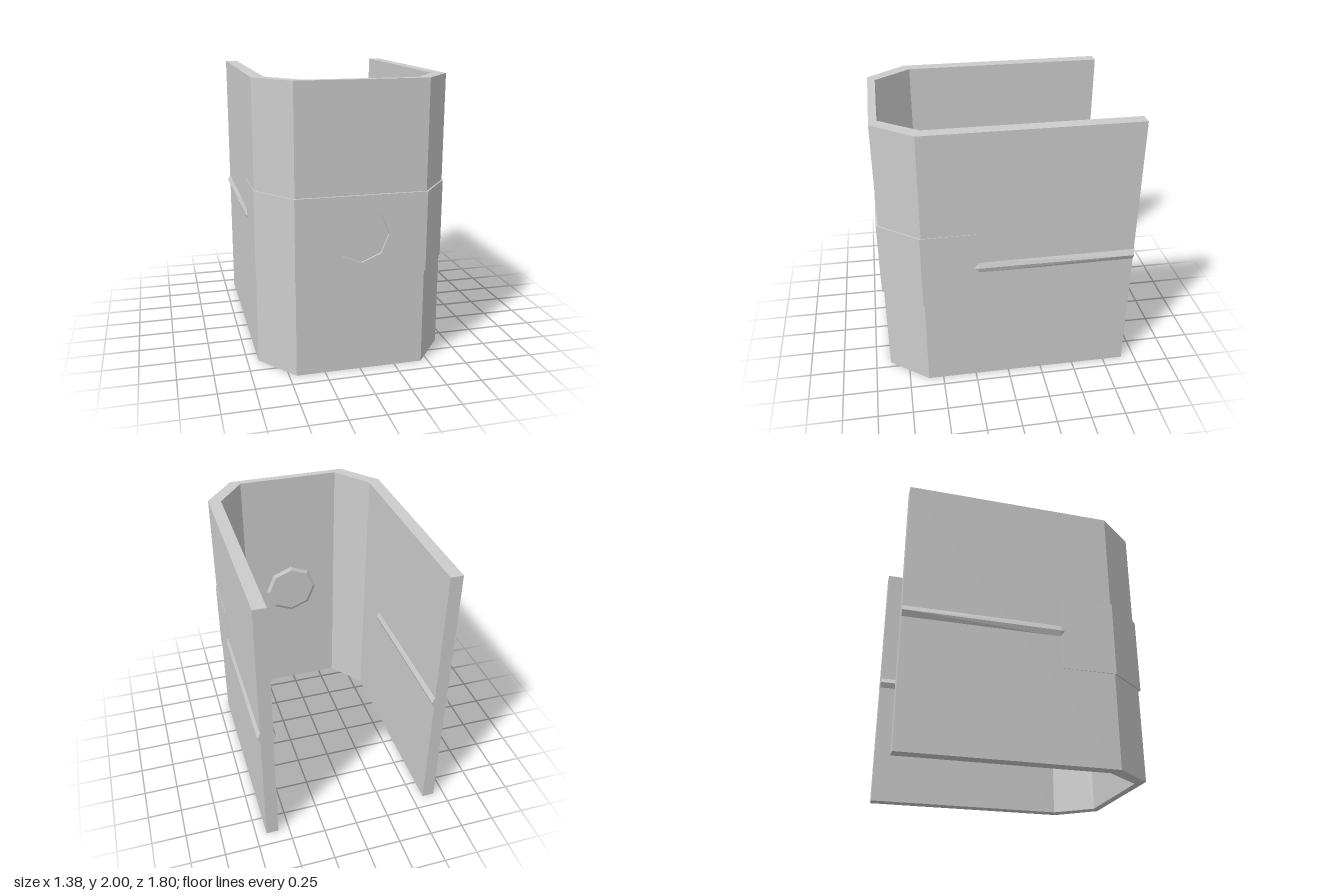
import * as THREE from 'three';
import { ConvexGeometry } from 'three/addons/geometries/ConvexGeometry.js';

const CENTRE_Y = 0.975;
const BAND_BOTTOM = 0.69;
const BAND_TOP = 1.25;

// Extrude a plan outline of [x, z] points upward from y0 to y1
function extrudePlan(points, y0, y1) {
  const shape = new THREE.Shape(points.map(([x, z]) => new THREE.Vector2(x, -z)));
  const geometry = new THREE.ExtrudeGeometry(shape, { depth: y1 - y0, bevelEnabled: false });
  return geometry.rotateX(-Math.PI / 2).translate(0, y0, 0);
}

// Octagon points with a corner pointing up
function octagon(radius) {
  return Array.from({ length: 8 }, (_, i) => {
    const a = (i * Math.PI) / 4;
    return new THREE.Vector2(Math.sin(a) * radius, CENTRE_Y + Math.cos(a) * radius);
  });
}

export function createModel() {
  const model = new THREE.Group();
  model.name = 'channelPanel';
  const grey = new THREE.MeshStandardMaterial({ color: 0xcccccc });
  grey.name = 'light grey';

  const add = (name, geometry) => {
    const mesh = new THREE.Mesh(geometry, grey);
    mesh.name = name;
    model.add(mesh);
  };

  // U-shaped wall with chamfered front corners
  const half = [[0.672, -0.9], [0.672, 0.61], [0.45, 0.89]];
  const inner = [[0.382, 0.835], [0.582, 0.57], [0.582, -0.9]];
  const flip = (pts) => pts.map(([x, z]) => [-x, z]).reverse();
  add('wall', extrudePlan([...half, ...flip(half), ...flip(inner), ...inner], 0, 2));

  // Front of the raised band, open at the octagonal recess
  const plate = new THREE.Shape([
    new THREE.Vector2(-0.45, BAND_BOTTOM), new THREE.Vector2(0.45, BAND_BOTTOM),
    new THREE.Vector2(0.45, BAND_TOP), new THREE.Vector2(-0.45, BAND_TOP),
  ]);
  plate.holes.push(new THREE.Path(octagon(0.19)));
  add('bandFront', new THREE.ExtrudeGeometry(plate, { depth: 0.015, bevelEnabled: false }).translate(0, 0, 0.89));

  // Shallow octagonal boss behind the recess
  const boss = [[0.22, 0.836], [0.19, 0.82]].flatMap(([r, z]) =>
    octagon(r).map((p) => new THREE.Vector3(p.x, p.y, z)));
  add('innerBoss', new ConvexGeometry(boss));

  for (const s of [1, -1]) {
    const side = s > 0 ? 'left' : 'right';

    // Band wrapping the chamfer and fading out along the side
    const wrap = [[0.45, 0.89], [0.672, 0.61], [0.672, 0.22], [0.674, 0.22], [0.677, 0.62], [0.455, 0.905], [0.45, 0.905]];
    add(side + 'Band', extrudePlan(wrap.map(([x, z]) => [s * x, z]), BAND_BOTTOM, BAND_TOP));

    // Pointed ridges along the outside and inside of each side wall
    for (const [name, base, peakBack, peakFront] of [
      ['OuterRidge', 0.67, 0.692, 0.685],
      ['InnerRidge', 0.584, 0.563, 0.567],
    ]) {
      const points = [[base, CENTRE_Y, 0.26]];
      for (const [z, peak] of [[-0.9, peakBack], [0.22, peakFront]]) {
        points.push([base, 1.02, z], [peak, CENTRE_Y, z], [base, 0.93, z]);
      }
      add(side + name, new ConvexGeometry(points.map(([x, y, z]) => new THREE.Vector3(s * x, y, z))));
    }
  }
  return model;
}
